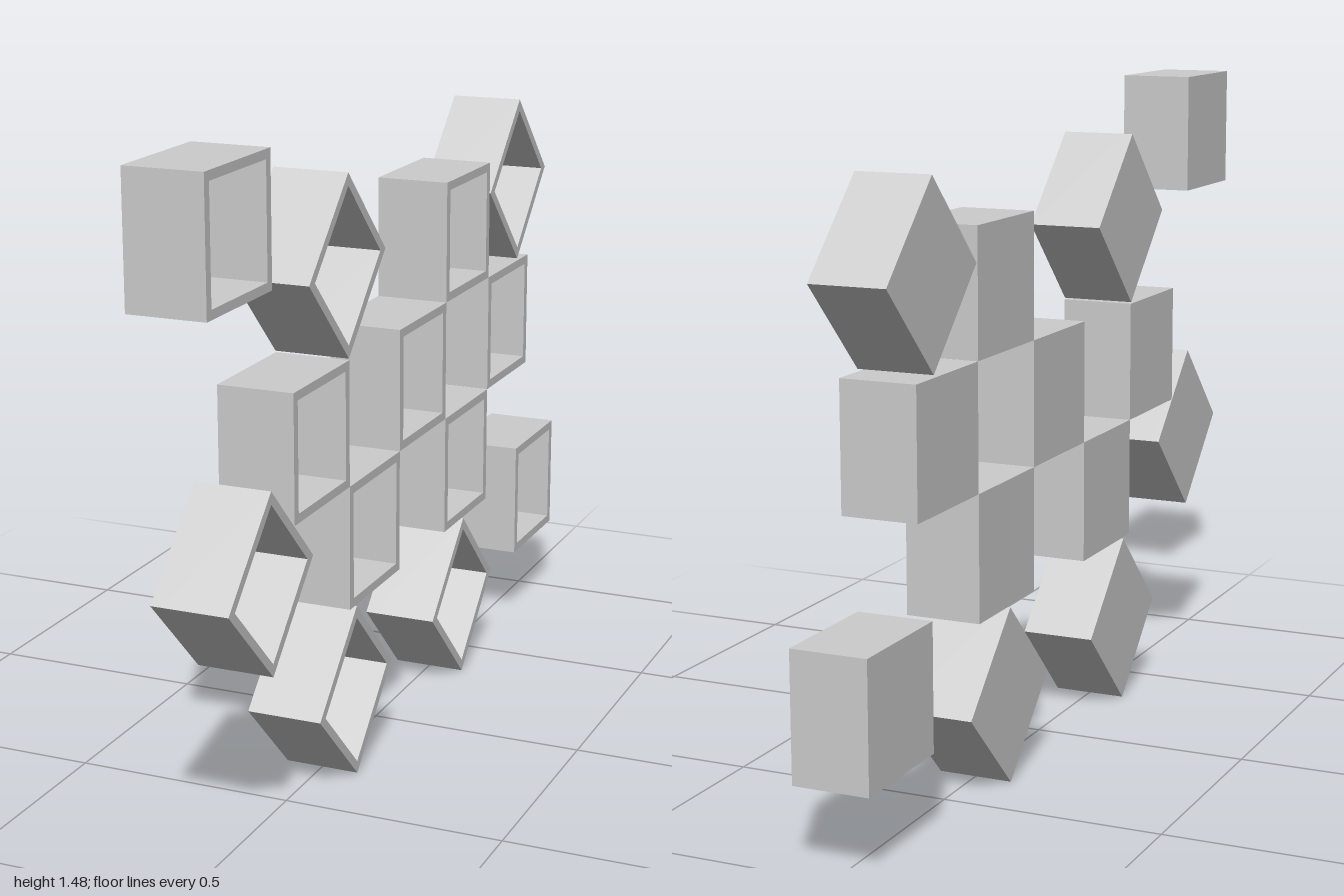
import * as THREE from 'three';

const SIZE = 0.281, DEPTH = 0.171, WALL = 0.02, BACK = 0.02;

// Square outline of the given side, centred on the origin
function square(PathType, side) {
  const h = side / 2;
  return new PathType([[-h, -h], [h, -h], [h, h], [-h, h]].map(([x, y]) => new THREE.Vector2(x, y)));
}

export function createModel() {
  const group = new THREE.Group();
  group.name = 'wallShelves';
  const material = new THREE.MeshStandardMaterial({ color: 0xcccccc });

  // Four-sided frame, running along x and open towards +x
  const outline = square(THREE.Shape, SIZE);
  outline.holes.push(square(THREE.Path, SIZE - 2 * WALL));
  const frameGeometry = new THREE.ExtrudeGeometry(outline, { depth: DEPTH - BACK, bevelEnabled: false });
  frameGeometry.rotateY(Math.PI / 2);
  frameGeometry.translate(-DEPTH / 2 + BACK, 0, 0);

  // Panel closing the -x side
  const panelGeometry = new THREE.BoxGeometry(BACK, SIZE, SIZE);
  panelGeometry.translate((BACK - DEPTH) / 2, 0, 0);

  function addCube(name, z, y, angle) {
    const cube = new THREE.Group();
    cube.name = name;
    const frame = new THREE.Mesh(frameGeometry, material);
    frame.name = 'frame';
    const panel = new THREE.Mesh(panelGeometry, material);
    panel.name = 'backPanel';
    cube.add(frame, panel);
    cube.position.set(0, y, z);
    cube.rotation.x = angle;
    group.add(cube);
  }

  // Upright cubes: [z, y] of the centres
  [
    [0.859, 1.337], [0.485, 0.824], [-0.077, 0.824], [-0.64, 0.824],
    [0.204, 0.543], [-0.358, 0.543], [-0.358, 1.105], [-0.859, 0.328],
  ].forEach(([z, y], i) => addCube(`uprightCube${i + 1}`, z, y, 0));

  // Cubes standing on a corner
  [
    [0.347, 1.167], [-0.703, 1.169], [0.735, 0.592], [0.308, 0.2], [-0.343, 0.2],
  ].forEach(([z, y], i) => addCube(`tiltedCube${i + 1}`, z, y, Math.PI / 4));

  return group;
}
